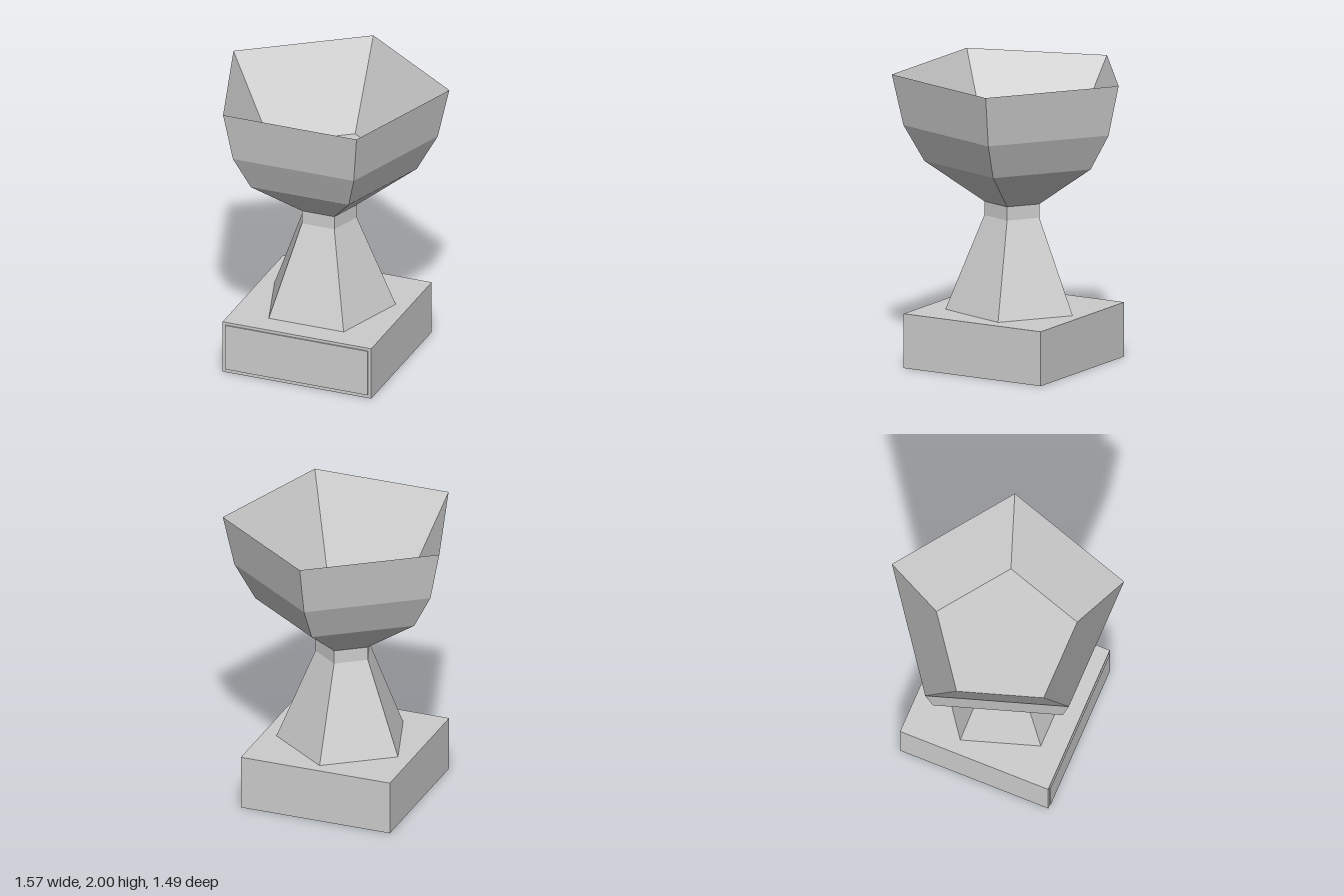
import * as THREE from 'three';

export function createModel() {
  const group = new THREE.Group();
  const silver = new THREE.MeshStandardMaterial({ color: 0xcccccc, flatShading: true });
  silver.name = 'silver grey';

  const centreZ = 0.08;

  function add(name, geometry, y, z) {
    const mesh = new THREE.Mesh(geometry, silver);
    mesh.name = name;
    mesh.position.set(0, y, z);
    group.add(mesh);
  }

  // Five-sided turned shape with one corner pointing to the back
  function pentagonal(profile) {
    const points = profile.map(([r, y]) => new THREE.Vector2(r, y));
    return new THREE.LatheGeometry(points, 5, Math.PI);
  }

  // Square plinth and the thin plate on its front
  add('base', new THREE.BoxGeometry(1.08, 0.375, 1.08), 0.1875, centreZ);
  add('plaque', new THREE.BoxGeometry(1.035, 0.33, 0.009), 0.19, centreZ + 0.5445);

  // Tapering stem with a short straight neck
  add('stem', pentagonal([[0.463, 0.375], [0.2, 1.02], [0.2, 1.115]]), 0, centreZ);

  // Cup: outer wall up to a sharp rim, then inner wall down to a flat floor
  add('cup', pentagonal([
    [0.2, 1.115], [0.605, 1.4], [0.747, 1.65], [0.825, 2],
    [0.5, 1.41], [0, 1.41],
  ]), 0, centreZ);

  // Centre the whole on z = 0
  const box = new THREE.Box3().setFromObject(group);
  const shift = (box.min.z + box.max.z) / 2;
  group.children.forEach((part) => { part.position.z -= shift; });
  return group;
}
